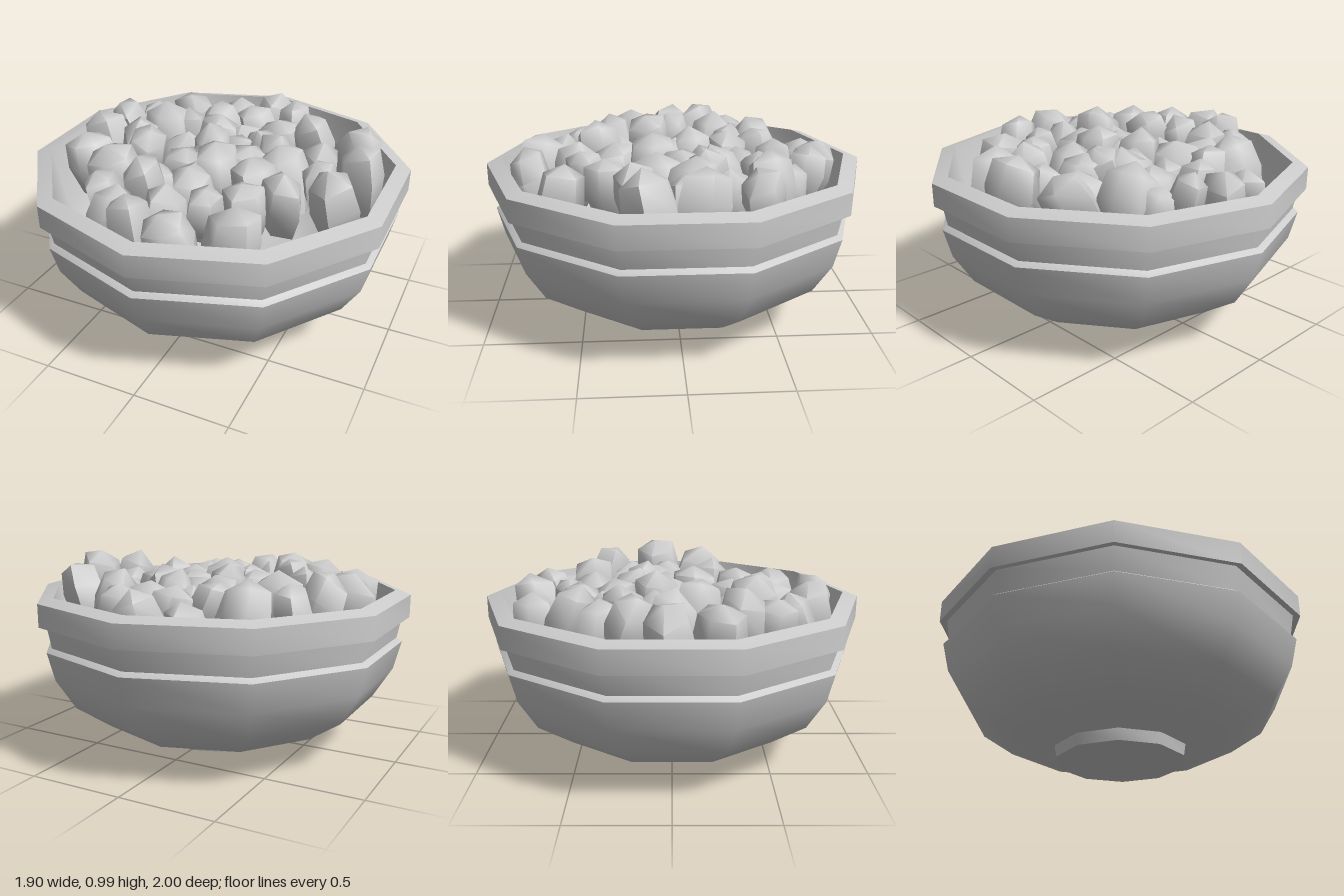
import * as THREE from 'three';
import { toCreasedNormals } from 'three/addons/utils/BufferGeometryUtils.js';

const grey = new THREE.MeshStandardMaterial({ color: 0xcccccc });
grey.name = 'stone grey';

let seed = 11;
const rand = (a = 0, b = 1) => {
  seed = (seed * 16807) % 2147483647;
  return a + (b - a) * (seed / 2147483647);
};

const lathe = (profile, sides) =>
  new THREE.LatheGeometry(profile.map(([r, y]) => new THREE.Vector2(r, y)), sides);

// Ten-sided bowl: foot, body, ledge, lip sloping up inward, then down the inside
function makeBowl() {
  const geometry = lathe([
    [0, 0], [0.345, 0], [0.355, 0.06], [0.64, 0.12], [0.83, 0.25], [0.93, 0.41],
    [0.968, 0.56], [0.94, 0.58], [0.962, 0.7], [1, 0.692], [1, 0.81],
    [0.92, 0.832], [0.86, 0.5], [0.74, 0.3], [0.5, 0.17], [0, 0.13],
  ], 10);
  const bowl = new THREE.Mesh(toCreasedNormals(geometry, 0.7), grey);
  bowl.name = 'bowl';
  return bowl;
}

// Chunky lump: five or six uneven sides under a low, off-centre dome
function makeLump(x, z, r) {
  const sides = rand() < 0.65 ? 5 : 6;
  const geometry = lathe(
    [[0, -1.5], [0.75, -1.25], [1, -0.2], [0.85, 0.7], [0, rand(1.0, 1.25)]], sides);
  const p = geometry.attributes.position;
  const phase = rand(0, 6.28), skewX = rand(-0.15, 0.15), skewZ = rand(-0.15, 0.15), slope = rand(-0.25, 0.25);
  for (let i = 0; i < p.count; i++) {
    const px = p.getX(i), py = p.getY(i), pz = p.getZ(i);
    const k = 1 + 0.12 * Math.sin(2 * Math.atan2(px, pz) + phase);
    p.setXYZ(i, px * k + skewX * py, py + slope * px, pz * k + skewZ * py);
  }
  geometry.scale(r, r * 1.15, r);
  geometry.rotateY(rand(0, 6.28));
  geometry.rotateX(rand(-0.3, 0.3));
  geometry.rotateZ(rand(-0.3, 0.3));
  // Rest each lump so its top reaches the heaped surface, lower at front and back
  geometry.computeBoundingBox();
  const box = geometry.boundingBox;
  geometry.translate(
    x - (box.min.x + box.max.x) / 2,
    rand(0.89, 1) - 0.09 * z * z - box.max.y,
    z - (box.min.z + box.max.z) / 2);
  const lump = new THREE.Mesh(toCreasedNormals(geometry, 1.25), grey);
  lump.name = 'lump';
  return lump;
}

// x, z and radius of each lump in the heap
const lumps = [
  [-0.2, -0.71, 0.11], [0.02, -0.72, 0.12], [0.19, -0.66, 0.1], [0.3, -0.57, 0.1],
  [0.38, -0.46, 0.13], [0.63, -0.38, 0.12], [-0.38, -0.51, 0.13], [-0.58, -0.35, 0.1],
  [-0.66, -0.2, 0.12], [-0.71, -0.01, 0.14], [-0.65, 0.22, 0.13], [-0.01, -0.53, 0.11],
  [-0.18, -0.46, 0.11], [0.17, -0.45, 0.13], [-0.32, -0.31, 0.12], [-0.43, -0.22, 0.13],
  [-0.15, -0.3, 0.13], [0, -0.33, 0.12], [0.16, -0.25, 0.12], [0.06, -0.18, 0.11],
  [0.24, -0.16, 0.12], [0.47, -0.23, 0.13], [-0.27, -0.07, 0.13], [-0.49, 0, 0.12],
  [-0.07, -0.08, 0.12], [0.13, -0.03, 0.13], [0.36, -0.06, 0.13], [0.55, -0.04, 0.11],
  [0.74, -0.09, 0.13], [0.69, 0.15, 0.14], [0.26, 0.11, 0.13], [0.43, 0.21, 0.12],
  [0.05, 0.12, 0.13], [-0.38, 0.13, 0.12], [-0.22, 0.27, 0.12], [-0.43, 0.34, 0.14],
  [0, 0.32, 0.13], [0.28, 0.36, 0.12], [-0.23, 0.4, 0.13], [0.13, 0.47, 0.1],
  [-0.06, 0.54, 0.12], [-0.4, 0.5, 0.11], [0.31, 0.59, 0.14], [-0.29, 0.63, 0.11],
  [-0.13, 0.72, 0.13], [0.1, 0.76, 0.12], [-0.07, 0.01, 0.11], [-0.18, 0.1, 0.12],
];

export function createModel() {
  const model = new THREE.Group();
  model.name = 'bowl of lumps';
  const heap = new THREE.Group();
  heap.name = 'heap';
  for (const [x, z, r] of lumps) heap.add(makeLump(x, z, r));
  model.add(makeBowl(), heap);
  return model;
}
